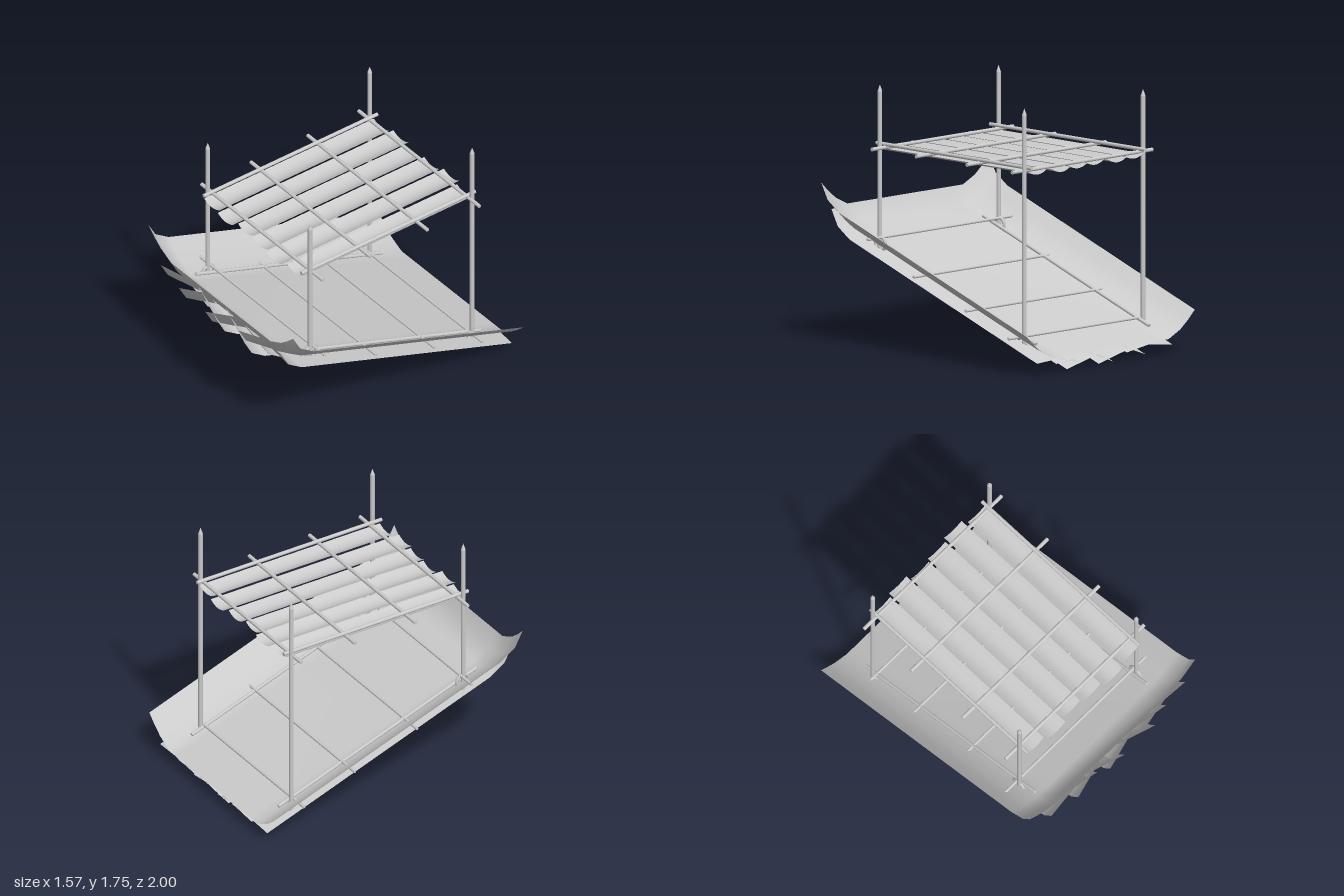
import * as THREE from 'three';

const material = new THREE.MeshStandardMaterial({ color: 0xcccccc, side: THREE.DoubleSide });

// slope profile, front to back, as [z, y]
const profile = [[0.93, 0.92], [0.87, 0.81], [0.76, 0.735], [-1, 0.11]];
const floorY = (z) => 0.735 + (z - 0.76) * 0.355;

export function createModel() {
  const model = new THREE.Group();

  const add = (name, geometry) => {
    const mesh = new THREE.Mesh(geometry, material);
    mesh.name = name;
    model.add(mesh);
    return mesh;
  };

  // thin surface from a grid of points given by rows and columns
  const sheet = (name, rows, cols, point) => {
    const positions = [], index = [];
    for (let r = 0; r < rows; r++) {
      for (let c = 0; c < cols; c++) {
        positions.push(...point(r, c));
        if (r && c) {
          const a = (r - 1) * cols + c - 1, b = a + 1, d = a + cols, e = d + 1;
          index.push(a, b, d, b, e, d);
        }
      }
    }
    const geometry = new THREE.BufferGeometry();
    geometry.setAttribute('position', new THREE.Float32BufferAttribute(positions, 3));
    geometry.setIndex(index);
    geometry.computeVertexNormals();
    return add(name, geometry);
  };

  // round pole between two points
  const rod = (name, from, to, radius) => {
    const a = new THREE.Vector3(...from), b = new THREE.Vector3(...to);
    const mesh = add(name, new THREE.CylinderGeometry(radius, radius, a.distanceTo(b), 12));
    mesh.position.copy(a).add(b).multiplyScalar(0.5);
    mesh.quaternion.setFromUnitVectors(new THREE.Vector3(0, 1, 0), b.sub(a).normalize());
    return mesh;
  };

  // sloping floor sheet with raised sides
  const half = [[0.785, 0.17], [0.72, 0.108], [0.65, 0.053], [0.54, 0], [0.45, 0]];
  const section = [...half.map(([x, h]) => [-x, h]), ...half.slice().reverse()];
  sheet('floorSheet', profile.length, section.length, (r, c) =>
    [section[c][0], profile[r][1] + section[c][1], profile[r][0]]);

  // tilted, overlapping strips under the floor: [low x, low depth, high x, high depth]
  const strips = [
    [-0.61, 0.47, -0.3, 0.05], [-0.38, 0.85, -0.13, 0.06], [-0.18, 0.48, -0.42, 0.05],
    [-0.085, 0.98, 0.2, 0.06], [0.05, 0.98, -0.24, 0.07], [0.345, 1, 0.05, 0.06],
    [0.25, 0.65, 0.5, 0.07], [0.48, 0.47, 0.2, 0.05], [0.675, 0.22, 0.4, 0.04],
  ];
  for (const [x0, d0, x1, d1] of strips) {
    sheet('underStrip', profile.length, 2, (r, c) => {
      const d = c ? d1 : d0;
      return [c ? x1 : x0, profile[r][1] - 0.105 * d, profile[r][0] + 0.065 * d];
    });
  }

  // corner posts with pointed tops, and the lashings at their feet
  for (const x of [-0.555, 0.555]) {
    for (const [z, foot, ringZ, ringY] of [[0.61, 0.625, 0.605, 0.69], [-0.745, 0.13, -0.72, 0.17]]) {
      rod('post', [x, foot, z], [x, 1.715, z], 0.016);
      const tip = add('postTip', new THREE.ConeGeometry(0.016, 0.045, 12));
      tip.position.set(x, 1.7375, z);
      const lashing = add('lashing', new THREE.TorusGeometry(0.046, 0.011, 8, 20));
      lashing.position.set(x, ringY, ringZ);
      lashing.rotation.y = Math.PI / 2;
    }
  }

  // lower frame lying on the floor
  for (const [z, y] of [[0.59, 0.735], [0.16, 0.535], [-0.33, 0.365], [-0.73, 0.225]]) {
    rod('floorCrossbar', [-0.69, y, z], [0.69, y, z], 0.01);
  }
  for (const x of [-0.53, 0.53]) {
    rod('floorRail', [x, floorY(0.73) + 0.012, 0.73], [x, floorY(-0.83) + 0.012, -0.83], 0.012);
    // upper rails resting on the roof crossbars
    rod('roofRail', [x, 1.358, 0.665], [x, 1.358, -0.79], 0.013);
  }

  // roof crossbars
  for (const [z, length] of [[0.58, 0.66], [0.175, 0.65], [-0.3, 0.65], [-0.73, 0.655]]) {
    rod('roofCrossbar', [-length, 1.338, z], [length, 1.338, z], 0.013);
  }

  // shallow trough-shaped roof slats: [centre x, back z, front z]
  const slats = [
    [-0.453, -0.765, 0.655], [-0.273, -0.79, 0.68], [-0.097, -0.755, 0.645],
    [0.081, -0.775, 0.66], [0.262, -0.8, 0.685], [0.45, -0.765, 0.655],
  ];
  for (const [x, back, front] of slats) {
    sheet('roofSlat', 2, 9, (r, c) => {
      const s = c / 4 - 1;
      return [x + s * 0.083, 1.305 + 0.025 * s * s, r ? back : front];
    });
  }

  return model;
}
